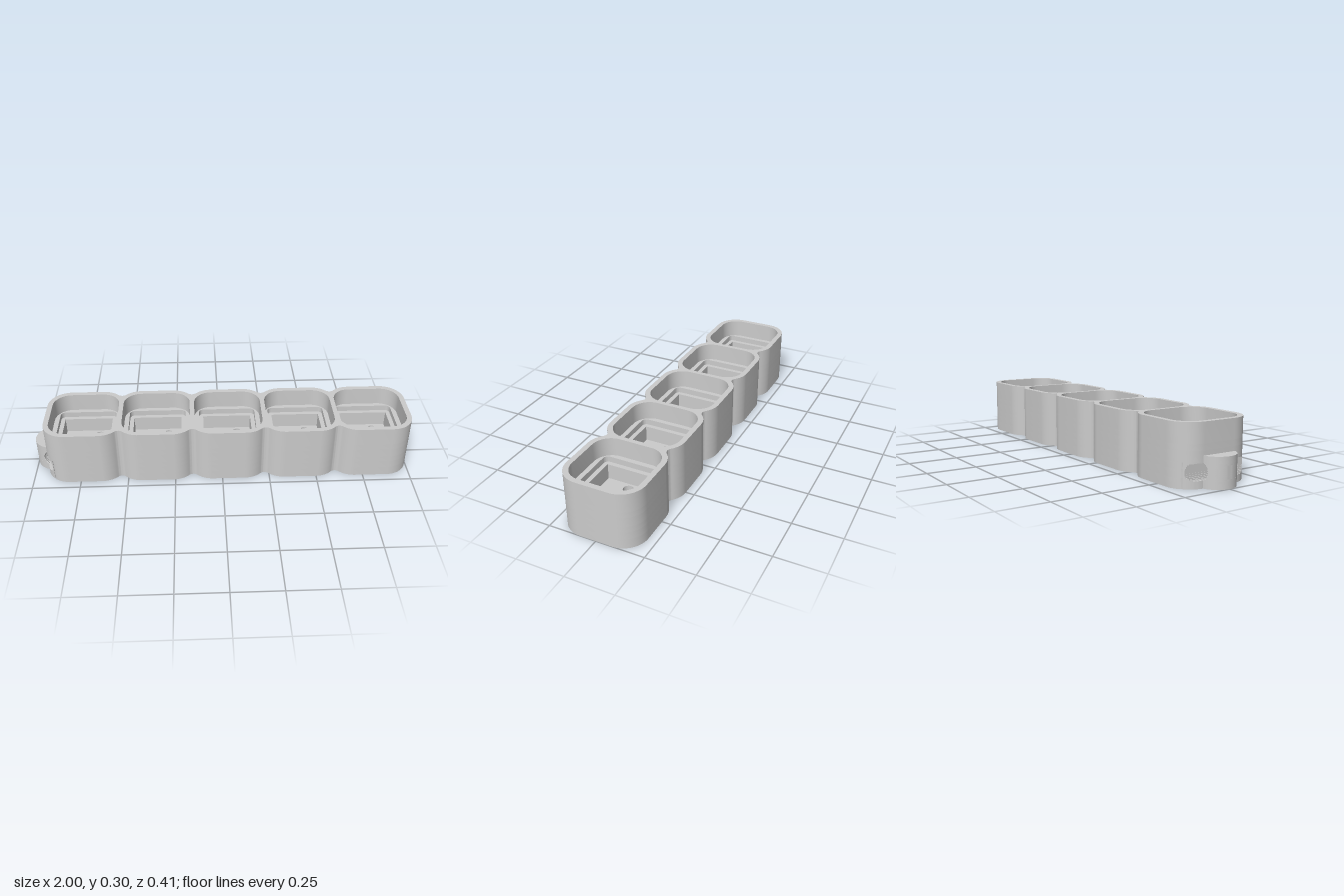
import * as THREE from 'three';
import { toCreasedNormals } from 'three/addons/utils/BufferGeometryUtils.js';

const CELLS = 5, PITCH = 0.38, FIRST = -0.725;
const HALF = 0.205, R = 0.12, FILLET = 0.03, HEIGHT = 0.297;
const CUT = -0.89; // the left end strip lies beyond this x
const centres = Array.from({ length: CELLS }, (_, i) => FIRST + i * PITCH);
const material = new THREE.MeshStandardMaterial({ color: 0xcccccc });

const arc = (cx, cz, r, from, to, n = 12) => Array.from({ length: n + 1 }, (_, i) => {
  const a = from + (to - from) * i / n;
  return new THREE.Vector2(cx + r * Math.cos(a), cz + r * Math.sin(a));
});

// Plan outline: rounded cells merged in a row, with small fillets in the notches
function bodyOutline(minX) {
  const c = HALF - R, dx = PITCH / 2 - c;
  const dz = Math.sqrt((R + FILLET) ** 2 - dx * dx), a = Math.atan2(dz, dx);
  const side = [];
  centres.forEach((x, i) => {
    const last = i === CELLS - 1;
    side.push(...arc(x - c, c, R, i === 0 ? Math.PI : Math.PI - a, Math.PI / 2));
    side.push(...arc(x + c, c, R, Math.PI / 2, last ? 0 : a));
    if (!last) side.push(...arc(x + PITCH / 2, c + dz, FILLET, Math.PI + a, 2 * Math.PI - a).slice(1, -1));
  });
  side.forEach(p => { p.x = Math.max(p.x, minX); });
  return closed(side);
}

// Mirror one side of a plan across z = 0
function closed(side) {
  const other = side.map(p => new THREE.Vector2(p.x, -p.y)).reverse();
  const pts = [...side, ...other].filter((p, i, all) => i === 0 || p.distanceTo(all[i - 1]) > 1e-5);
  return new THREE.Shape(pts);
}

function roundedSquare(x, h, r) {
  const c = h - r;
  return new THREE.Path([[1, 1], [-1, 1], [-1, -1], [1, -1]].flatMap(([sx, sz], i) =>
    r > 0 ? arc(x + sx * c, sz * c, r, i * Math.PI / 2, (i + 1) * Math.PI / 2, 10)
      : [new THREE.Vector2(x + sx * h, sz * h)]));
}

const roundHole = (x, z, r) => new THREE.Path(arc(x, z, r, 0, 2 * Math.PI, 24).slice(0, -1));

// Extrude a plan shape (x, z) between two heights
function layer(name, shape, y0, y1) {
  let g = new THREE.ExtrudeGeometry(shape, { depth: y1 - y0, bevelEnabled: false });
  g.rotateX(Math.PI / 2).translate(0, y1, 0);
  g = toCreasedNormals(g, 0.6);
  const mesh = new THREE.Mesh(g, material);
  mesh.name = name;
  return mesh;
}

// Slab between two x positions whose half width follows a rule
function slab(name, xa, xb, width, y0, y1) {
  const side = Array.from({ length: 13 }, (_, i) => {
    const x = xa + (xb - xa) * (1 - Math.cos(Math.PI * i / 24));
    return new THREE.Vector2(x, width(x));
  });
  return layer(name, closed(side), y0, y1);
}

export function createModel() {
  const model = new THREE.Group();
  model.name = 'switchHolder';

  // Tray stack: each layer has its own opening in every cell
  const centre = x => [roundHole(x, 0, 0.04)];
  const pins = x => [...centre(x), roundHole(x - 0.093, 0, 0.026), roundHole(x + 0.093, 0, 0.026),
    roundHole(x + 0.057, -0.097, 0.02), roundHole(x - 0.075, -0.053, 0.02)];
  const square = x => [roundedSquare(x, 0.13, 0)];
  const layers = [
    ['base', 0, 0.05, CUT, centre],
    ['pinPlate', 0.05, 0.09, CUT, pins],
    ['lowerSocket', 0.09, 0.12, CUT, square],
    ['upperSocket', 0.12, 0.17, -2, square],
    ['ledge', 0.17, 0.2, -2, x => [roundedSquare(x, 0.153, 0.025)]],
    ['cellWalls', 0.2, HEIGHT, -2, x => [roundedSquare(x, 0.178, R - 0.027)]],
  ];
  for (const [name, y0, y1, minX, openings] of layers) {
    const shape = bodyOutline(minX);
    shape.holes = centres.flatMap(openings);
    model.add(layer(name, shape, y0, y1));
  }

  // Left end strip and lug, pierced from front to back by an oval cord hole
  const left = FIRST - HALF, cornerX = left + R;
  const stripWidth = x => HALF - R + Math.sqrt(Math.max(0, R * R - (cornerX - x) ** 2));
  const lugWidth = x => Math.sqrt(Math.max(0, 0.095 ** 2 - (x + 0.905) ** 2));
  const holeX = -0.923, holeY = 0.075, rx = 0.028, ry = 0.04, lugTop = 0.147;
  const end = new THREE.Group();
  end.name = 'cordLug';
  end.add(slab('stripBottom', left, CUT, stripWidth, 0, holeY - ry));
  end.add(slab('stripTop', left, CUT, stripWidth, holeY + ry, 0.12));
  end.add(slab('lugBottom', -1, left, lugWidth, 0, holeY - ry));
  end.add(slab('lugTop', -1, left, lugWidth, holeY + ry, lugTop));
  const n = 14;
  for (let i = 0; i < n; i++) {
    const a0 = Math.PI * i / n, a1 = Math.PI * (i + 1) / n;
    const y0 = holeY - ry * Math.cos(a0), y1 = holeY - ry * Math.cos(a1);
    const half = rx * Math.sin((a0 + a1) / 2);
    end.add(slab('holeInnerSide', holeX + half, CUT, stripWidth, y0, y1));
    end.add(slab('lugPost', -1, Math.min(left, holeX - half), lugWidth, y0, y1));
    if (holeX - half > left) end.add(slab('holeOuterSide', left, holeX - half, stripWidth, y0, y1));
  }
  model.add(end);
  return model;
}
